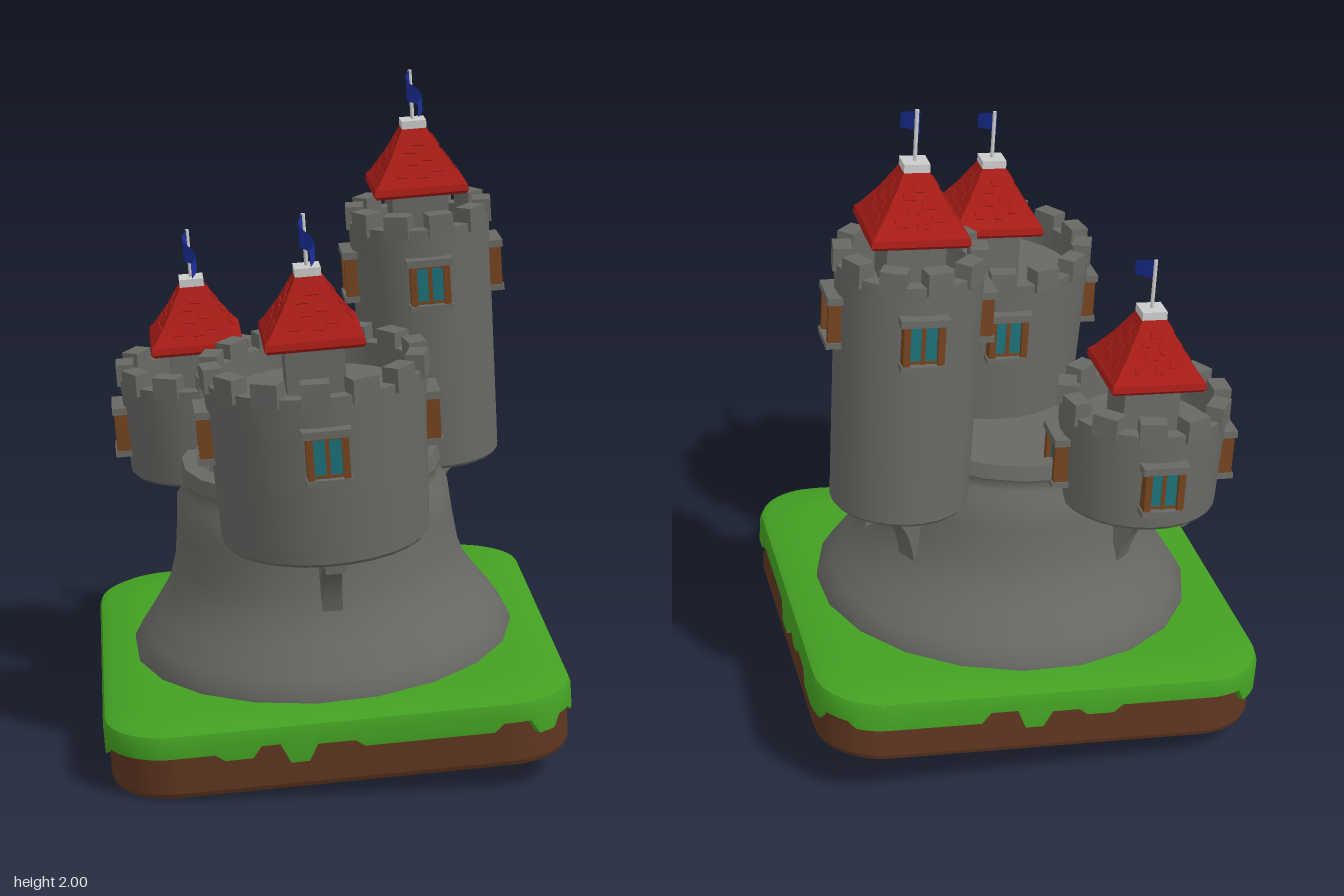
import * as THREE from 'three';
import { toCreasedNormals } from 'three/addons/utils/BufferGeometryUtils.js';

const mat = (color, side = THREE.FrontSide) => new THREE.MeshStandardMaterial({ color, side });
const stone = mat(0x686864), metal = mat(0xcccccc), grass = mat(0x43a022), soil = mat(0x5f3620);
const tile = mat(0xa81c16), glass = mat(0x1c7078), wood = mat(0x74421f), cloth = mat(0x1a2f9a, THREE.DoubleSide);
const YAW = 0.74; // turn shared by the ground, roofs and windows

function add(parent, name, geometry, material, x = 0, y = 0, z = 0) {
  const mesh = new THREE.Mesh(geometry, material);
  mesh.name = name;
  mesh.position.set(x, y, z);
  parent.add(mesh);
  return mesh;
}
const box = (w, h, d) => new THREE.BoxGeometry(w, h, d);
const lathe = (pts, sides, crease = 0.6) =>
  toCreasedNormals(new THREE.LatheGeometry(pts.map(p => new THREE.Vector2(...p)), sides), crease);

function roundedSquare(h, r) {
  const s = new THREE.Shape(), k = h - r;
  s.absarc(k, k, r, 0, Math.PI / 2);
  s.absarc(-k, k, r, Math.PI / 2, Math.PI);
  s.absarc(-k, -k, r, Math.PI, Math.PI * 1.5);
  s.absarc(k, -k, r, Math.PI * 1.5, Math.PI * 2);
  s.closePath();
  return s;
}

// Grass blanket: loops around the outline, the lowest ones stepping up and down
function grassGeometry() {
  const n = 192, drop = [0.1, 0.14, 0.115, 0.145, 0.09, 0.135, 0.12, 0.15];
  const outline = roundedSquare(0.688, 0.2).getSpacedPoints(n).slice(0, n);
  const rows = [[0.96, null], [1, null], [1, 0.18], [0.99, 0.2], [0.96, 0.212], [0.8, 0.218], [0, 0.22]];
  const pos = [], index = [];
  rows.forEach(([s, y], r) => outline.forEach((p, i) => {
    const step = Math.floor(i / 6 + 0.8 * Math.sin(i * 0.21));
    pos.push(p.x * s, y ?? drop[((step * 5) % 8 + 8) % 8], -p.y * s);
    if (r === rows.length - 1) return;
    const a = r * n + i, b = r * n + (i + 1) % n;
    index.push(a, b, b + n, a, b + n, a + n);
  }));
  const g = new THREE.BufferGeometry();
  g.setAttribute('position', new THREE.Float32BufferAttribute(pos, 3));
  g.setIndex(index);
  return toCreasedNormals(g, 0.7);
}

function makeGround() {
  const ground = new THREE.Group();
  ground.name = 'ground';
  const slab = new THREE.ExtrudeGeometry(roundedSquare(0.655, 0.18),
    { depth: 0.13, bevelSize: 0.02, bevelThickness: 0.02, bevelSegments: 2, curveSegments: 8 });
  add(ground, 'soil', slab.rotateX(-Math.PI / 2).translate(0, 0.02, 0), soil);
  add(ground, 'grass', grassGeometry(), grass);
  ground.rotation.y = YAW;
  return ground;
}

function makeWindow() {
  const w = new THREE.Group();
  w.name = 'window';
  add(w, 'pane', box(0.09, 0.125, 0.03), glass);
  for (const s of [-1, 1]) {
    add(w, 'jamb', box(0.02, 0.13, 0.06), wood, s * 0.05, 0, 0);
    add(w, 'paneBar', box(0.09, 0.008, 0.036), wood, 0, s * 0.055, 0);
  }
  add(w, 'mullion', box(0.012, 0.125, 0.036), wood);
  add(w, 'lintel', box(0.14, 0.022, 0.07), stone, 0, 0.07, 0);
  add(w, 'sill', box(0.13, 0.018, 0.07), stone, 0, -0.07, 0);
  return w;
}

function makeRoof() {
  const roof = new THREE.Group();
  roof.name = 'roof';
  const cone = lathe([[0, 0.045], [0.19, 0.04], [0.203, 0.05], [0.198, 0.07], [0.178, 0.085],
    [0.115, 0.152], [0.05, 0.235], [0, 0.235]], 4, 0.3).rotateY(Math.PI / 4);
  add(roof, 'roofCone', cone, tile);
  add(roof, 'roofNeck', box(0.17, 0.16, 0.17), stone, 0, -0.03, 0);
  // Raised tiles scattered over the four slopes: [along, up]
  const spots = [[-0.6, 0.12], [0.1, 0.1], [0.65, 0.2], [-0.25, 0.35], [0.4, 0.42], [-0.45, 0.58], [0.1, 0.72]];
  for (let f = 0; f < 4; f++) {
    const face = new THREE.Group();
    face.name = 'roofTiles';
    face.rotation.y = f * Math.PI / 2;
    spots.forEach(([u, v]) => {
      const d = THREE.MathUtils.lerp(0.122, 0.037, v) - 0.004 * Math.sin(v * Math.PI);
      const t = add(face, 'tile', box(0.035, 0.022, 0.012), tile, u * d * 0.8 * (f % 2 ? -1 : 1), 0.088 + v * 0.145, d);
      t.rotation.x = -0.57;
    });
    roof.add(face);
  }
  add(roof, 'roofCap', box(0.075, 0.025, 0.075), metal, 0, 0.243, 0);
  roof.rotation.y = YAW;
  return roof;
}

// Drooping, waving pennant that narrows toward its free end
function makeFlag() {
  const flag = new THREE.Group();
  flag.name = 'flag';
  add(flag, 'flagPole', new THREE.CylinderGeometry(0.006, 0.006, 0.16, 8), metal, 0, 0.325, 0);
  const g = new THREE.PlaneGeometry(1, 1, 12, 2), p = g.attributes.position;
  for (let i = 0; i < p.count; i++) {
    const u = p.getX(i) + 0.5, v = p.getY(i) + 0.5;
    const top = 0.405 - 0.07 * u, low = 0.315 - 0.025 * u + 0.015 * Math.sin(u * Math.PI);
    p.setXYZ(i, u * 0.17, THREE.MathUtils.lerp(low, top, v), 0.018 * Math.sin(u * Math.PI * 2));
  }
  g.computeVertexNormals();
  add(flag, 'pennant', g, cloth);
  flag.rotation.y = -0.83;
  return flag;
}

// Round tower from y = 0.675 up to its battlements at "top"
function makeTower(name, x, z, r0, r1, top, merlons, windows) {
  const tower = new THREE.Group();
  tower.name = name;
  tower.position.set(x, 0, z);
  const wall = top - 0.045, inner = r1 - 0.045;
  add(tower, 'towerWall', lathe([[0, 0.675], [r0 - 0.008, 0.675], [r0, 0.685], [r1, wall], [inner, wall],
    [inner, wall - 0.07], [0, wall - 0.07]], 28), stone);
  for (let i = 0; i < merlons; i++) {
    const a = (i + 0.5) / merlons * Math.PI * 2;
    const m = add(tower, 'merlon', box(Math.PI * r1 / merlons * 1.12, 0.07, 0.055), stone,
      Math.sin(a) * (r1 - 0.021), top - 0.035, Math.cos(a) * (r1 - 0.021));
    m.rotation.y = a;
  }
  for (const k of windows) {
    const w = makeWindow(), a = YAW + k * Math.PI / 2;
    w.position.set(Math.sin(a) * (r1 - 0.004), top - 0.21, Math.cos(a) * (r1 - 0.004));
    w.rotation.y = a;
    tower.add(w);
  }
  const crown = new THREE.Group();
  crown.name = 'towerTop';
  crown.position.y = top;
  crown.add(makeRoof(), makeFlag());
  tower.add(crown);
  return tower;
}

// Curved bracket carrying a tower's overhang
function makeBracket(angle) {
  const s = new THREE.Shape();
  s.moveTo(0.38, 0.43);
  s.lineTo(0.44, 0.43);
  s.quadraticCurveTo(0.47, 0.62, 0.62, 0.64);
  s.lineTo(0.66, 0.64);
  s.lineTo(0.66, 0.685);
  s.lineTo(0.38, 0.685);
  const g = new THREE.ExtrudeGeometry(s, { depth: 0.06, bevelEnabled: false, curveSegments: 8 });
  const mesh = new THREE.Mesh(toCreasedNormals(g.translate(0, 0, -0.03), 0.6), stone);
  mesh.name = 'bracket';
  mesh.rotation.y = angle;
  return mesh;
}

export function createModel() {
  const model = new THREE.Group(), castle = new THREE.Group();
  model.name = 'castle';
  castle.name = 'tiltedCastle';
  // The whole castle leans gently forward
  castle.position.y = 0.085;
  castle.rotation.set(0.091, 0, 0.017);
  model.add(castle);
  castle.add(makeGround());

  // Central keep with flared foot and open, rimmed top
  add(castle, 'keep', lathe([[0.58, 0.2], [0.58, 0.235], [0.55, 0.285], [0.5, 0.355], [0.455, 0.425], [0.432, 0.5],
    [0.42, 0.6], [0.412, 0.69], [0.392, 0.72], [0.39, 0.745], [0.396, 0.755], [0.388, 0.8], [0.335, 0.8],
    [0.325, 0.72], [0, 0.72]], 20, 0.7), stone);

  const towers = [
    ['frontTower', 0.275, 0.29, 0.302, 0.322, 1.22, 14, [0, 1, 2, 3]],
    ['backTower', 0.11, -0.48, 0.206, 0.216, 1.48, 10, [0, 1, 2, 3]],
    ['sideTower', -0.465, -0.055, 0.238, 0.25, 1.03, 11, [1, 2, 3]],
  ];
  for (const t of towers) castle.add(makeTower(...t), makeBracket(Math.atan2(-t[2], t[1])));
  return model;
}
